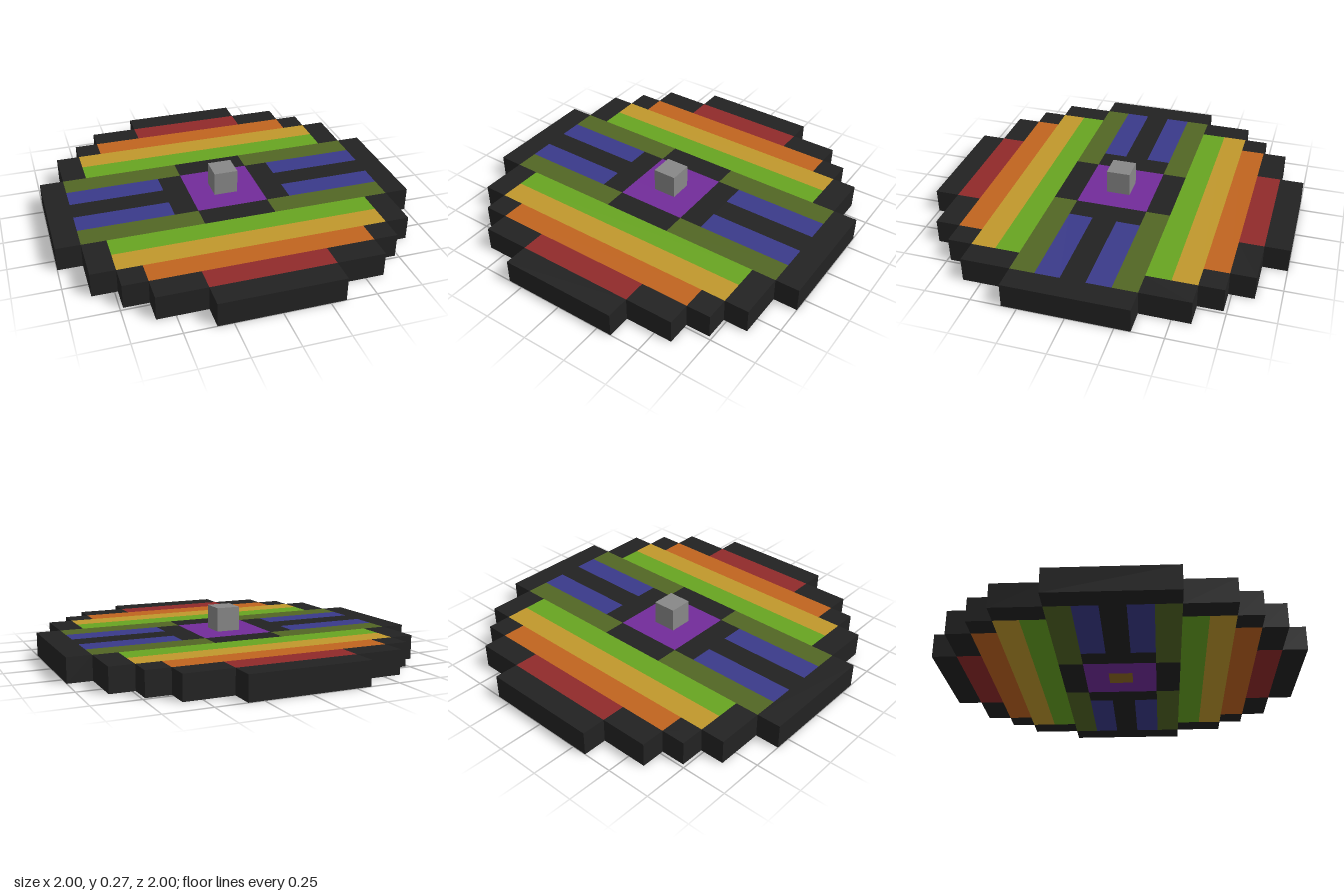
import * as THREE from 'three';

const U = 2 / 15; // one block of the 15 x 15 grid

const mat = (name, color) => {
  const m = new THREE.MeshStandardMaterial({ color });
  m.name = name;
  return m;
};

export function createModel() {
  const black = mat('black', 0x222222);
  const red = mat('red', 0x902a2a);
  const orange = mat('orange', 0xc0641f);
  const yellow = mat('yellow', 0xc0982c);
  const green = mat('green', 0x68a521);
  const olive = mat('olive', 0x526624);
  const blue = mat('blue', 0x3a3a8a);
  const purple = mat('purple', 0x722c9a);
  const gray = mat('gray', 0x888888);
  const brown = mat('brown', 0x8f6a22);

  const model = new THREE.Group();
  model.name = 'spinningDisc';

  // Block-aligned slab, spans given in grid units from the centre
  const slab = (name, material, x0, x1, z0, z1, y0 = 0, y1 = 1) => {
    const mesh = new THREE.Mesh(
      new THREE.BoxGeometry((x1 - x0) * U, (y1 - y0) * U, (z1 - z0) * U), material);
    mesh.position.set((x0 + x1) / 2 * U, (y0 + y1) / 2 * U, (z0 + z1) / 2 * U);
    mesh.name = name;
    model.add(mesh);
  };
  // Slab centred on x, mirrored front and back
  const band = (name, material, halfWidth, z0, z1) => {
    slab(name + 'Front', material, -halfWidth, halfWidth, z0, z1);
    slab(name + 'Back', material, -halfWidth, halfWidth, -z1, -z0);
  };
  // Slab repeated in all four quarters
  const quarters = (name, material, x0, x1, z0, z1) => {
    for (const [a, b] of [[x0, x1], [-x1, -x0]]) {
      slab(name, material, a, b, z0, z1);
      slab(name, material, a, b, -z1, -z0);
    }
  };

  // Coloured bands across the disc
  band('redBand', red, 2.5, 5.5, 6.5);
  band('orangeBand', orange, 4.5, 4.5, 5.5);
  band('yellowBand', yellow, 5.5, 3.5, 4.5);
  band('greenBand', green, 5.5, 2.5, 3.5);
  quarters('oliveBand', olive, 1.5, 6.5, 1.5, 2.5);
  quarters('blueBar', blue, 2.5, 6.5, 0.5, 1.5);

  // Stepped black rim
  band('rimEnd', black, 2.5, 6.5, 7.5);
  quarters('rimStep', black, 2.5, 4.5, 5.5, 6.5);
  quarters('rimStep', black, 4.5, 5.5, 4.5, 5.5);
  quarters('rimStep', black, 5.5, 6.5, 2.5, 4.5);
  for (const s of [-1, 1]) {
    slab('rimSide', black, s * 7 - 0.5, s * 7 + 0.5, -2.5, 2.5);
    // Black cross around the hub
    slab('crossArm', black, s * 4.5 - 2, s * 4.5 + 2, -0.5, 0.5);
    slab('crossShoulder', black, s * 2 - 0.5, s * 2 + 0.5, -1.5, 1.5);
  }
  band('crossEnd', black, 1.5, 1.5, 2.5);

  // Purple hub: a ring of blocks around the core
  band('hub', purple, 1.5, 0.5, 1.5);
  slab('hubSide', purple, 0.5, 1.5, -0.5, 0.5);
  slab('hubSide', purple, -1.5, -0.5, -0.5, 0.5);
  slab('core', brown, -0.5, 0.5, -0.5, 0.5);

  // Handle on top
  slab('handle', gray, -0.5, 0.5, -0.5, 0.5, 1, 2);

  return model;
}
